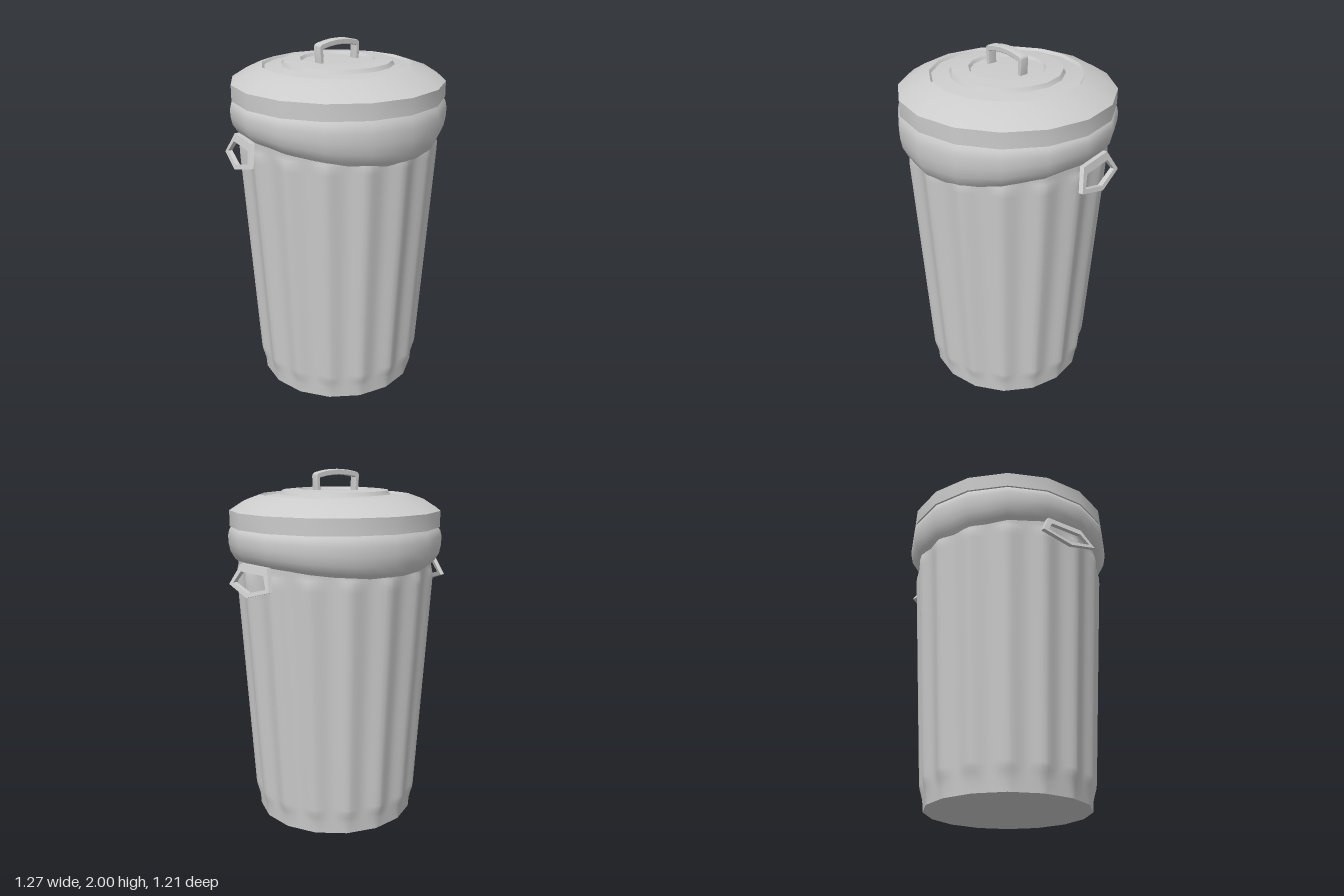
import * as THREE from 'three';
import { mergeVertices, toCreasedNormals } from 'three/addons/utils/BufferGeometryUtils.js';

const SIDES = 16;
const STEP = (Math.PI * 2) / SIDES;
const grey = new THREE.MeshStandardMaterial({ color: 0xcccccc });
const greyDouble = new THREE.MeshStandardMaterial({ color: 0xcccccc, side: THREE.DoubleSide });

function add(parent, name, geometry, material = grey) {
  const mesh = new THREE.Mesh(geometry, material);
  mesh.name = name;
  parent.add(mesh);
  return mesh;
}

const profile = (pairs) => pairs.map(([r, y]) => new THREE.Vector2(r, y));

// Lathe whose vertices are moved by rule(angle, radius, y) -> [radius, y], with a smooth seam
function ruledLathe(pairs, segments, rule) {
  const geo = new THREE.LatheGeometry(profile(pairs), segments);
  const p = geo.attributes.position;
  for (let i = 0; i < p.count; i++) {
    const a = Math.atan2(p.getX(i), p.getZ(i));
    const [r, y] = rule(a, Math.hypot(p.getX(i), p.getZ(i)), p.getY(i));
    p.setXYZ(i, Math.sin(a) * r, y, Math.cos(a) * r);
  }
  geo.deleteAttribute('uv');
  geo.deleteAttribute('normal');
  const merged = mergeVertices(geo, 1e-5);
  merged.computeVertexNormals();
  return merged;
}

// Tapered sixteen-sided wall with a raised rib along every corner
function wallGeometry() {
  const levels = [0, 0.06, 0.1, 0.125, 0.15, 0.6, 1.0, 1.4, 1.435, 1.46, 1.49, 1.62];
  const pairs = levels.map((y) => [0.457 + 0.062 * y, y]);
  return ruledLathe(pairs, SIDES * 8, (a, r, y) => {
    const local = a - Math.round(a / STEP) * STEP;
    const polygon = Math.cos(STEP / 2) / Math.cos(STEP / 2 - Math.abs(local));
    const bump = Math.pow(Math.cos((local / STEP) * Math.PI), 2);
    const ends = THREE.MathUtils.smoothstep(y, 0.05, 0.15)
      * (1 - THREE.MathUtils.smoothstep(y, 1.42, 1.5));
    return [r * polygon + 0.017 * bump * ends, y];
  });
}

// Swollen collar, hanging lowest at the front and highest at the sides
function collarGeometry() {
  const pairs = [[0.525, 0], [0.568, 0.17], [0.593, 0.35], [0.602, 0.55],
    [0.604, 0.75], [0.595, 0.9], [0.575, 1]];
  return ruledLathe(pairs, SIDES * 2, (a, r, f) => {
    const low = 1.455 - 0.02 * Math.cos(a) - 0.035 * Math.cos(2 * a);
    const local = a - Math.round(a / STEP) * STEP;
    const polygon = Math.cos(STEP / 2) / Math.cos(STEP / 2 - Math.abs(local));
    return [r * polygon, THREE.MathUtils.lerp(low, 1.7, f)];
  });
}

// Stepped lid: rim band, sloping shoulder, then raised and sunken rings
function lidGeometry() {
  const pairs = [[0.5, 1.692], [0.593, 1.692], [0.593, 1.78], [0.51, 1.832], [0.42, 1.864],
    [0.408, 1.85], [0.312, 1.865], [0.3, 1.886], [0.208, 1.894], [0.197, 1.878], [0, 1.886]];
  const geo = new THREE.LatheGeometry(profile(pairs), SIDES);
  geo.deleteAttribute('uv');
  geo.deleteAttribute('normal');
  return toCreasedNormals(geo, 0.45);
}

// Flat arched strap standing on two legs
function lidHandleGeometry() {
  const s = new THREE.Shape();
  s.moveTo(-0.133, 1.875);
  s.lineTo(-0.14, 1.96);
  s.quadraticCurveTo(-0.14, 1.975, -0.125, 1.98);
  s.quadraticCurveTo(0, 2.012, 0.115, 1.98);
  s.quadraticCurveTo(0.13, 1.975, 0.13, 1.96);
  s.lineTo(0.126, 1.875);
  s.lineTo(0.112, 1.875);
  s.lineTo(0.114, 1.957);
  s.quadraticCurveTo(0, 1.988, -0.123, 1.957);
  s.lineTo(-0.118, 1.875);
  const geo = new THREE.ExtrudeGeometry(s, {
    depth: 0.038, bevelEnabled: true, bevelSize: 0.004, bevelThickness: 0.008,
    bevelSegments: 2, curveSegments: 5,
  });
  geo.translate(0, 0, -0.019);
  return toCreasedNormals(geo, 0.6);
}

// Five-sided frame with a thick top bar, leaning outward towards the bottom
function sideHandleGeometry() {
  const outer = [[-0.115, 1.515], [-0.178, 1.4], [0, 1.35], [0.178, 1.4], [0.115, 1.515]];
  const inner = [[-0.1, 1.475], [-0.143, 1.412], [0, 1.374], [0.143, 1.412], [0.1, 1.475]];
  const vec = (list) => list.map(([x, y]) => new THREE.Vector2(x, y));
  const shape = new THREE.Shape(vec(outer));
  shape.holes.push(new THREE.Path(vec(inner)));
  const geo = new THREE.ExtrudeGeometry(shape, { depth: 0.024, bevelEnabled: false });
  const p = geo.attributes.position;
  for (let i = 0; i < p.count; i++) {
    p.setZ(i, p.getZ(i) + 0.549 + (1.515 - p.getY(i)) * 0.33);
  }
  geo.computeVertexNormals();
  return geo;
}

export function createModel() {
  const model = new THREE.Group();
  model.name = 'trashCan';

  add(model, 'ribbedWall', wallGeometry(), greyDouble);
  const base = new THREE.CircleGeometry(0.457, SIDES);
  base.rotateX(Math.PI / 2);
  add(model, 'base', base);
  add(model, 'collar', collarGeometry(), greyDouble);

  const lid = new THREE.Group();
  lid.name = 'lid';
  model.add(lid);
  add(lid, 'lidPan', lidGeometry(), greyDouble);
  add(lid, 'lidHandle', lidHandleGeometry());

  // Carrying handles sit slightly behind the middle of each side
  for (const [name, side] of [['leftHandle', 1], ['rightHandle', -1]]) {
    const handle = add(model, name, sideHandleGeometry());
    handle.rotation.y = side * (Math.PI / 2 + 0.19);
  }
  return model;
}
